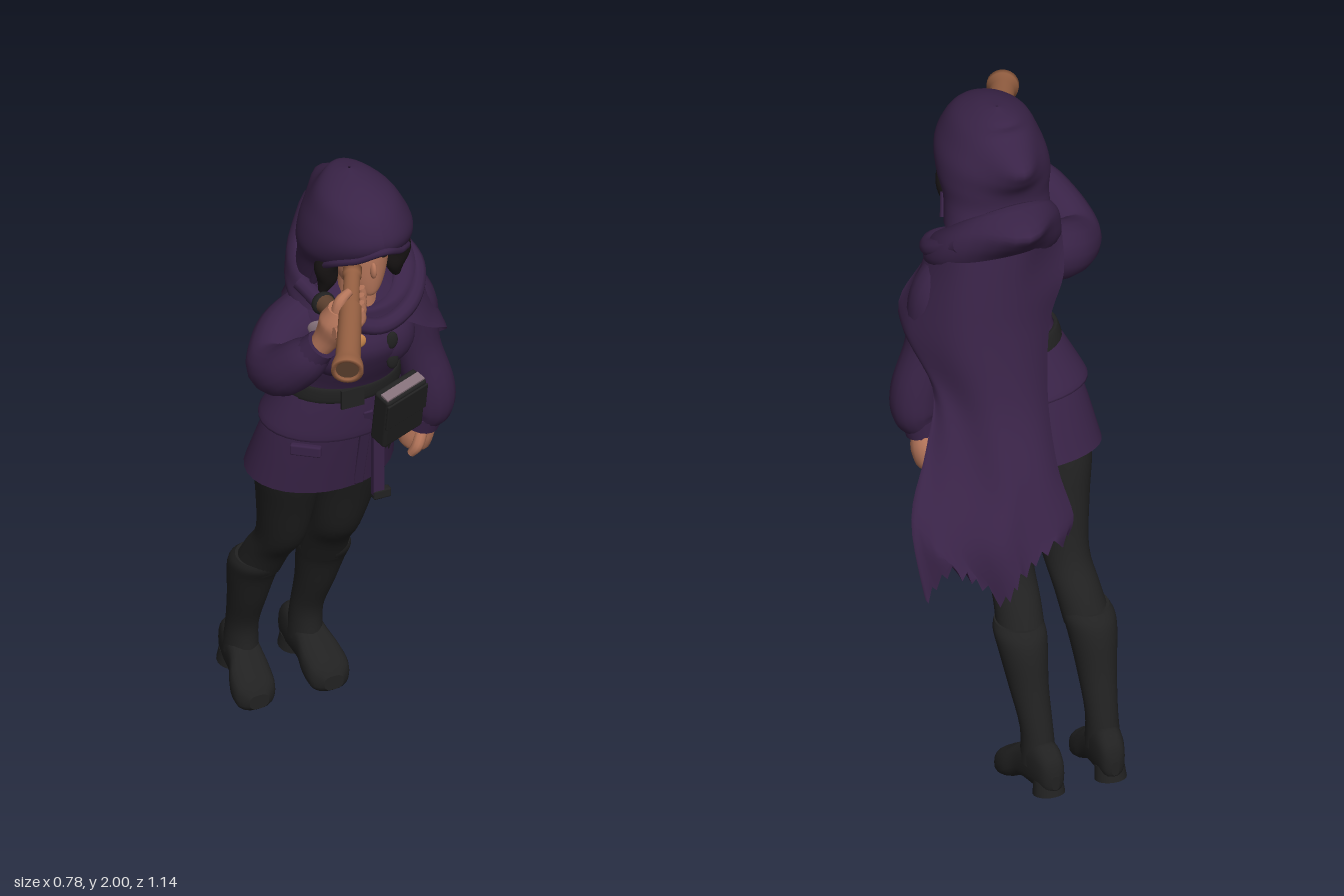
import * as THREE from 'three';
import { RoundedBoxGeometry } from 'three/addons/geometries/RoundedBoxGeometry.js';

const mat = (name, color, side = THREE.FrontSide) => {
  const m = new THREE.MeshStandardMaterial({ color, side });
  m.name = name;
  return m;
};
const cloth = mat('purple cloth', 0x392347, THREE.DoubleSide);
const black = mat('black leather', 0x212121);
const skin = mat('skin', 0xb4755a);
const wood = mat('wood', 0x966042);
const darkWood = mat('dark wood', 0x5f4230);
const hairMat = mat('hair', 0x1a1616);
const dusty = mat('dusty trim', 0x85717a);
const gold = mat('gold', 0xc8864c);
const V = (x, y, z) => new THREE.Vector3(x, y, z);

// Smoothly refine a list of key arrays
const cr = (a, b, c, d, t) => b + 0.5 * t * (c - a + t * (2 * a - 5 * b + 4 * c - d + t * (3 * (b - c) + d - a)));
function dense(keys, sub) {
  const out = [], n = keys.length, at = i => keys[Math.min(n - 1, Math.max(0, i))];
  for (let i = 0; i < n - 1; i++)
    for (let s = 0; s < sub; s++)
      out.push(keys[i].map((_, k) => cr(at(i - 1)[k], at(i)[k], at(i + 1)[k], at(i + 2)[k], s / sub)));
  out.push(keys[n - 1]);
  return out;
}

// Skin rows of points into a smooth surface
function skinRows(rows, closed = true, caps = false) {
  if (caps) {
    const mid = r => { const c = V(0, 0, 0); r.forEach(p => c.add(p)); c.divideScalar(r.length); return r.map(() => c); };
    const a = rows[0], b = rows[rows.length - 1];
    rows = [mid(a), a, ...rows, b, mid(b)];
  }
  const w = rows[0].length, idx = [];
  for (let i = 0; i < rows.length - 1; i++)
    for (let j = 0; j < (closed ? w : w - 1); j++) {
      const k = (j + 1) % w, A = i * w + j, B = i * w + k, C = A + w, D = B + w;
      idx.push(A, C, D, A, D, B);
    }
  const g = new THREE.BufferGeometry().setFromPoints(rows.flat());
  g.setIndex(idx);
  g.computeVertexNormals();
  return g;
}

// Level rings, top to bottom: [x, y, z, rx, rz, tilt, back tip, front gap]
function ringRows(keys, seg = 32, sub = 4, open = false) {
  return dense(keys.map(k => [...k, 0, 0, 0].slice(0, 8)), sub).map(([x, y, z, rx, rz, tilt, tip, gap]) => {
    const g = Math.max(0, gap);
    return Array.from({ length: open ? seg + 1 : seg }, (_, j) => {
      const a = g + (j / seg) * (2 * Math.PI - 2 * g), c = Math.cos(a);
      return V(x + rx * Math.sin(a), y + tilt * c, z + rz * c - tip * Math.max(0, -c) ** 8);
    });
  });
}
const rings = (keys, caps = false) => skinRows(ringRows(keys), true, caps);

// Round limb through keys [x, y, z, radius]
function limb(keys, seg = 16, sub = 6) {
  const k = dense(keys, sub), p = k.map(q => V(q[0], q[1], q[2]));
  let n = V(0.3, 0.2, 1);
  return skinRows(p.map((c, i) => {
    const t = p[Math.min(i + 1, p.length - 1)].clone().sub(p[Math.max(i - 1, 0)]).normalize();
    n = n.clone().addScaledVector(t, -n.dot(t)).normalize();
    const b = t.clone().cross(n);
    return Array.from({ length: seg }, (_, j) => {
      const a = (j / seg) * 2 * Math.PI;
      return c.clone().addScaledVector(n, k[i][3] * Math.cos(a)).addScaledVector(b, -k[i][3] * Math.sin(a));
    });
  }), true, true);
}

export function createModel() {
  const root = new THREE.Group();
  root.name = 'hoodedScout';
  const add = (name, geo, m, parent = root) => {
    const o = new THREE.Mesh(geo, m);
    o.name = name;
    parent.add(o);
    return o;
  };
  const ball = (name, m, x, y, z, rx, ry, rz) => {
    const o = add(name, new THREE.SphereGeometry(1, 24, 16), m);
    o.position.set(x, y, z);
    o.scale.set(rx, ry, rz);
    return o;
  };

  // Legs and boots, mirrored about the body's middle
  for (const s of [-1, 1]) {
    const X = d => -0.048 + s * d, side = s < 0 ? 'right' : 'left';
    add(side + 'Leg', rings([
      [X(0.1), 1.02, -0.11, 0.1, 0.12], [X(0.1), 0.92, -0.14, 0.096, 0.118], [X(0.094), 0.8, -0.175, 0.081, 0.1],
      [X(0.086), 0.65, -0.225, 0.067, 0.083], [X(0.092), 0.56, -0.295, 0.066, 0.076], [X(0.102), 0.47, -0.35, 0.068, 0.076]]), black);
    add(side + 'BootShaft', rings([
      [X(0.103), 0.515, -0.33, 0.067, 0.076], [X(0.106), 0.49, -0.347, 0.074, 0.085], [X(0.107), 0.44, -0.372, 0.069, 0.078],
      [X(0.105), 0.34, -0.405, 0.056, 0.064], [X(0.1), 0.22, -0.45, 0.046, 0.052], [X(0.1), 0.12, -0.46, 0.05, 0.065]], true), black);
    const foot = dense([ // z, bottom, top, half width, x offset
      [-0.566, 0.075, 0.12, 0.012, 0.092], [-0.55, 0.06, 0.17, 0.034, 0.093], [-0.5, 0.052, 0.2, 0.046, 0.097], [-0.42, 0.045, 0.165, 0.052, 0.104],
      [-0.37, 0.016, 0.125, 0.064, 0.112], [-0.325, 0.002, 0.095, 0.06, 0.115], [-0.3, 0.015, 0.06, 0.03, 0.116]], 4)
      .map(([z, lo, hi, w, d]) => Array.from({ length: 20 }, (_, j) => {
        const a = (j / 20) * 2 * Math.PI, q = v => Math.sign(v) * Math.abs(v) ** 0.75;
        return V(X(d) + w * q(Math.cos(a)), (lo + hi) / 2 - ((hi - lo) / 2) * q(Math.sin(a)), z);
      }));
    add(side + 'Boot', skinRows(foot, true, true), black);
    const heel = add(side + 'Heel', new THREE.CylinderGeometry(0.042, 0.046, 0.045, 20), black);
    heel.position.set(X(0.095), 0.067, -0.52);
    heel.rotation.x = 0.2;
  }

  // Coat body, skirt, peplum and belt
  add('coat', rings([
    [-0.02, 1.65, -0.03, 0.07, 0.07], [-0.02, 1.61, -0.02, 0.13, 0.1], [-0.02, 1.55, -0.005, 0.185, 0.125], [-0.02, 1.46, 0.02, 0.172, 0.143],
    [-0.022, 1.38, 0.008, 0.16, 0.129], [-0.028, 1.28, -0.03, 0.153, 0.113], [-0.035, 1.2, -0.06, 0.175, 0.13]]), cloth);
  add('skirt', rings([
    [-0.035, 1.22, -0.055, 0.165, 0.125], [-0.045, 1.12, -0.085, 0.197, 0.14, -0.01], [-0.058, 0.94, -0.135, 0.222, 0.153, -0.025]]), cloth);
  add('peplum', rings([
    [-0.028, 1.29, -0.03, 0.154, 0.114], [-0.035, 1.22, -0.055, 0.185, 0.14], [-0.045, 1.14, -0.08, 0.214, 0.16, -0.015],
    [-0.045, 1.132, -0.08, 0.2, 0.148, -0.015]]), cloth);
  add('belt', rings([
    [-0.028, 1.295, -0.03, 0.152, 0.112], [-0.028, 1.294, -0.03, 0.164, 0.124], [-0.029, 1.25, -0.04, 0.172, 0.13], [-0.029, 1.249, -0.04, 0.155, 0.115]]), black);
  for (const x of [-0.1, 0.05]) ball('chest', cloth, x, 1.45, 0.07, 0.088, 0.1, 0.082);
  const pocket = add('pocketFlap', new RoundedBoxGeometry(0.09, 0.035, 0.02, 2, 0.006), cloth);
  pocket.position.set(-0.175, 1.085, 0.03);
  pocket.rotation.y = -0.65;
  add('buckle', new THREE.BoxGeometry(0.07, 0.06, 0.009), black).position.set(-0.06, 1.268, 0.094);
  const placket = add('placket', new RoundedBoxGeometry(0.03, 0.29, 0.012, 2, 0.004), cloth);
  placket.position.set(-0.005, 1.06, 0.047);
  placket.rotation.x = 0.24;
  for (const [x, y, z] of [[0.035, 1.47, 0.153], [0.045, 1.39, 0.136]]) ball('toggle', black, x, y, z, 0.018, 0.028, 0.009);

  // Satchel with lid trim and hanging strap
  const bag = new THREE.Group();
  bag.name = 'satchel';
  bag.position.set(0.078, 1.2, 0.105);
  bag.rotation.set(0.27, 0.3, 0.06);
  root.add(bag);
  add('satchelBody', new RoundedBoxGeometry(0.148, 0.195, 0.06, 3, 0.01), black, bag);
  add('satchelTrim', new THREE.BoxGeometry(0.138, 0.012, 0.03), dusty, bag).position.set(0, 0.097, 0.008);
  add('satchelFlap', new RoundedBoxGeometry(0.149, 0.1, 0.008, 2, 0.003), black, bag).position.set(0, 0.035, 0.031);
  add('hangingStrap', new RoundedBoxGeometry(0.035, 0.21, 0.022, 2, 0.004), cloth).position.set(0.035, 1.0, 0.06);
  add('strapEnd', new RoundedBoxGeometry(0.055, 0.03, 0.026, 2, 0.006), black).position.set(0.045, 0.9, 0.06);

  // Arms, cuffs and hands
  add('rightSleeve', limb([[-0.12, 1.52, -0.02, 0.085], [-0.23, 1.48, 0.01, 0.085], [-0.31, 1.45, 0.09, 0.073],
    [-0.31, 1.475, 0.17, 0.074], [-0.275, 1.54, 0.235, 0.066], [-0.25, 1.585, 0.265, 0.048]]), cloth);
  add('rightCuff', limb([[-0.26, 1.57, 0.255, 0.052], [-0.24, 1.605, 0.275, 0.047]]), cloth);
  add('rightHand', limb([[-0.25, 1.585, 0.265, 0.032], [-0.225, 1.635, 0.285, 0.04], [-0.205, 1.69, 0.305, 0.054], [-0.2, 1.74, 0.315, 0.036]]), skin);
  for (let i = 0; i < 4; i++) { // fingers wrap under the tube
    const z = 0.275 + i * 0.027, x = -0.145 - i * 0.0135, y = 1.753 - i * 0.006;
    add('rightFinger', limb([[x - 0.055, y - 0.045, z, 0.017], [x - 0.01, y - 0.047, z, 0.016], [x + 0.03, y - 0.022, z, 0.014], [x + 0.027, y + 0.01, z, 0.011]], 10, 4), skin);
  }
  add('rightThumb', limb([[-0.215, 1.715, 0.32, 0.02], [-0.205, 1.765, 0.32, 0.017], [-0.17, 1.785, 0.31, 0.012]], 10), skin);
  add('leftSleeve', limb([[0.11, 1.54, -0.03, 0.075], [0.175, 1.46, -0.035, 0.078], [0.2, 1.31, -0.035, 0.067],
    [0.235, 1.17, -0.03, 0.072], [0.242, 1.09, -0.035, 0.067], [0.225, 1.045, -0.045, 0.048]]), cloth);
  add('leftCuff', limb([[0.228, 1.065, -0.042, 0.055], [0.222, 1.02, -0.05, 0.05]]), cloth);
  add('leftHand', limb([[0.222, 1.04, -0.05, 0.035], [0.218, 0.99, -0.07, 0.05], [0.212, 0.945, -0.08, 0.045], [0.205, 0.925, -0.08, 0.025]]), skin);
  add('leftThumb', limb([[0.215, 1.01, -0.03, 0.018], [0.195, 0.97, -0.018, 0.017], [0.18, 0.94, -0.03, 0.012]], 10), skin);

  // Spyglass held to the eye
  const eye = V(-0.105, 1.772, 0.19), lens = V(-0.29, 1.692, 0.55);
  const glass = add('spyglass', new THREE.LatheGeometry([[0, 0], [0.027, 0], [0.027, 0.03], [0.023, 0.04], [0.026, 0.15], [0.032, 0.16],
    [0.036, 0.36], [0.045, 0.39], [0.046, 0.412], [0.034, 0.412], [0.032, 0.4], [0, 0.4]].map(p => new THREE.Vector2(...p)), 28), wood);
  glass.position.copy(eye);
  glass.quaternion.setFromUnitVectors(V(0, 1, 0), lens.clone().sub(eye).normalize());
  add('lens', new THREE.CylinderGeometry(0.033, 0.033, 0.006, 24), darkWood, glass).position.y = 0.402;
  add('handle', limb([[-0.2, 1.7, 0.29, 0.024], [-0.2, 1.695, 0.24, 0.026], [-0.2, 1.69, 0.195, 0.031]]), darkWood);
  ball('handleEnd', black, -0.2, 1.688, 0.2, 0.035, 0.035, 0.026);

  // Head, face and hair
  add('neck', limb([[-0.025, 1.52, 0.055, 0.062], [-0.03, 1.7, 0.05, 0.05]]), skin);
  add('head', rings([[-0.03, 1.87, 0.06, 0.01, 0.01], [-0.03, 1.85, 0.06, 0.055, 0.07], [-0.03, 1.79, 0.062, 0.082, 0.103], [-0.03, 1.73, 0.065, 0.08, 0.104],
    [-0.03, 1.67, 0.085, 0.058, 0.08], [-0.03, 1.64, 0.11, 0.03, 0.045], [-0.03, 1.63, 0.11, 0.005, 0.01]]), skin);
  ball('nose', skin, -0.03, 1.732, 0.168, 0.01, 0.026, 0.015);
  ball('lips', darkWood, -0.03, 1.69, 0.158, 0.018, 0.005, 0.008);
  for (const s of [-1, 1]) {
    ball('eye', hairMat, -0.03 + s * 0.035, 1.765, 0.155, 0.016, 0.007, 0.007);
    const brow = ball('brow', hairMat, -0.03 + s * 0.036, 1.786, 0.153, 0.023, 0.005, 0.008);
    brow.rotation.z = s * 0.25;
    add('hairLock', limb([[-0.03 + s * 0.02, 1.855, 0.145, 0.015], [-0.03 + s * 0.075, 1.82, 0.13, 0.028], [-0.03 + s * 0.112, 1.75, 0.1, 0.034],
      [-0.03 + s * 0.105, 1.69, 0.085, 0.03], [-0.03 + s * 0.115, 1.64, 0.075, 0.012]]), hairMat);
  }
  ball('hair', hairMat, -0.03, 1.79, 0.02, 0.115, 0.13, 0.11);

  // Hood with an arched opening, rolled rim and peaked back
  const hood = ringRows([
    [-0.04, 2.0, 0.03, 0.004, 0.004], [-0.04, 1.985, 0.04, 0.055, 0.085], [-0.04, 1.95, 0.07, 0.105, 0.135], [-0.037, 1.895, 0.075, 0.136, 0.17, 0, 0.07],
    [-0.035, 1.845, 0.065, 0.155, 0.185, 0, 0.035], [-0.035, 1.79, 0.045, 0.161, 0.165, 0, 0, 0.72], [-0.03, 1.73, 0.015, 0.152, 0.135, 0, 0, 1.0],
    [-0.02, 1.66, -0.02, 0.155, 0.14, 0, 0, 1.1]], 40, 5, true);
  add('hood', skinRows(hood, false), cloth);
  const low = hood.slice(20).filter((_, i) => i === 0 || i > 2);
  const edge = [...low.map(r => r[0]).reverse(), ...low.slice(1).map(r => r[40])];
  add('hoodRim', new THREE.TubeGeometry(new THREE.CatmullRomCurve3(edge), 60, 0.012, 8), cloth);

  // Cowl around the neck with a pointed back
  add('cowl', rings([
    [-0.02, 1.645, -0.02, 0.12, 0.108, -0.1], [-0.02, 1.675, -0.025, 0.145, 0.125, -0.105], [-0.008, 1.66, -0.035, 0.178, 0.16, -0.09, 0.08],
    [0, 1.62, -0.035, 0.195, 0.165, -0.075, 0.045], [0, 1.575, -0.025, 0.2, 0.16, -0.06], [0, 1.535, -0.015, 0.175, 0.14, -0.045]]), cloth);
  const fold = new THREE.CatmullRomCurve3([V(-0.18, 1.64, 0), V(-0.12, 1.575, 0.1), V(0, 1.52, 0.14), V(0.11, 1.55, 0.11), V(0.18, 1.6, 0), V(0.14, 1.67, -0.12)]);
  add('cowlFold', new THREE.TubeGeometry(fold, 40, 0.026, 10), cloth);
  ball('clasp', gold, -0.075, 1.5, 0.158, 0.026, 0.024, 0.009).rotation.y = -0.2;
  ball('brooch', dusty, -0.16, 1.53, 0.105, 0.042, 0.03, 0.01).rotation.y = -0.7;

  // Cape over the left shoulder, swept back to a ragged hem
  const capeKeys = [
    [[0.06, 1.53, 0.14], [0.18, 1.57, 0.03], [0.15, 1.63, -0.15], [-0.03, 1.65, -0.2], [-0.2, 1.59, -0.06]],
    [[0.16, 1.46, 0.12], [0.235, 1.47, -0.02], [0.18, 1.5, -0.17], [0.02, 1.52, -0.22], [-0.17, 1.5, -0.14]],
    [[0.26, 1.38, 0.04], [0.268, 1.36, -0.06], [0.19, 1.36, -0.2], [0.04, 1.38, -0.245], [-0.11, 1.38, -0.18]],
    [[0.235, 1.23, -0.14], [0.225, 1.21, -0.18], [0.15, 1.18, -0.265], [0.04, 1.18, -0.3], [-0.075, 1.18, -0.245]],
    [[0.29, 1.08, -0.22], [0.245, 1.05, -0.27], [0.15, 1.0, -0.36], [0.05, 1.0, -0.39], [-0.065, 1.0, -0.335]],
    [[0.38, 0.93, -0.32], [0.32, 0.87, -0.37], [0.2, 0.85, -0.44], [0.07, 0.86, -0.455], [-0.085, 0.87, -0.4]],
    [[0.375, 0.69, -0.4], [0.29, 0.8, -0.43], [0.175, 0.7, -0.475], [0.08, 0.79, -0.485], [-0.06, 0.83, -0.42]]];
  const cols = capeKeys.map(r => dense(r, 8).flat());
  const cape = dense(cols, 5).map((r, i) => Array.from({ length: 33 }, (_, j) => {
    const t = i / 30, fray = t > 0.86 ? (t - 0.86) * 0.2 * ((j * 3) % 7 / 3 - 1) : 0;
    return V(r[j * 3], r[j * 3 + 1] - fray, r[j * 3 + 2] + 0.01 * t * Math.sin(j * 0.6));
  }));
  add('cape', skinRows(cape, false), cloth);
  return root;
}
